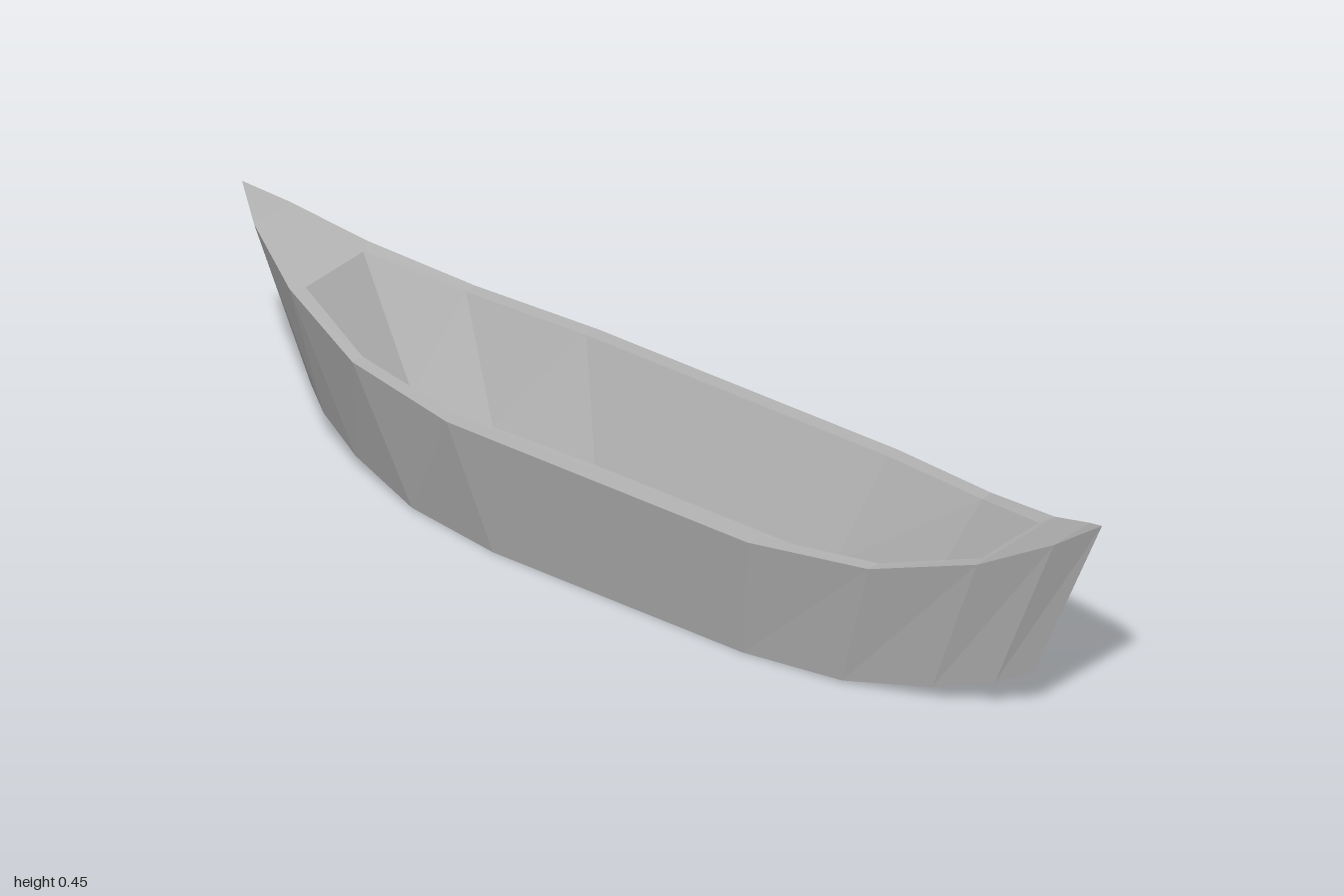
import * as THREE from 'three';

// Half outlines from midships towards the tip: [x, y, half width]
const RIM = [[0.35, 0.278, 0.217], [0.6, 0.295, 0.178], [0.8, 0.347, 0.112], [0.93, 0.408, 0.052], [1, 0.45, 0]];
const KEEL = [[0.29, 0, 0.157], [0.5, 0.005, 0.13], [0.67, 0.03, 0.081], [0.78, 0.06, 0.037], [0.84, 0.084, 0]];
const INNER_RIM = [[0.35, 0.278, 0.187], [0.6, 0.295, 0.15], [0.785, 0.342, 0.083]];
const FLOOR = [[0.28, 0.06, 0.125], [0.5, 0.07, 0.103], [0.655, 0.1, 0.064]];

// Full line from the -x end to the +x end, on the front (side 1) or back (side -1)
function line(half, side) {
  const right = half.map(([x, y, z]) => new THREE.Vector3(x, y, z * side));
  const left = half.map(([x, y, z]) => new THREE.Vector3(-x, y, z * side)).reverse();
  return [...left, ...right];
}

// Flat-faced skin made of strips, each stretched between two lines
function skin(name, strips, material) {
  const points = [];
  const addTriangle = (a, b, c) => {
    if (new THREE.Triangle(a, b, c).getArea() > 1e-7) points.push(a, b, c);
  };
  for (const [a, b] of strips) {
    for (let i = 0; i < a.length - 1; i++) {
      addTriangle(a[i], a[i + 1], b[i + 1]);
      addTriangle(a[i], b[i + 1], b[i]);
    }
  }
  const geometry = new THREE.BufferGeometry().setFromPoints(points);
  geometry.computeVertexNormals();
  const mesh = new THREE.Mesh(geometry, material);
  mesh.name = name;
  return mesh;
}

export function createModel() {
  const boat = new THREE.Group();
  boat.name = 'rowingBoat';
  const grey = new THREE.MeshStandardMaterial({ color: 0xb4b4b4 });
  grey.name = 'hullGrey';
  grey.flatShading = true;

  const [rimF, rimB] = [line(RIM, 1), line(RIM, -1)];
  const [keelF, keelB] = [line(KEEL, 1), line(KEEL, -1)];
  const [innerF, innerB] = [line(INNER_RIM, 1), line(INNER_RIM, -1)];
  const [floorF, floorB] = [line(FLOOR, 1), line(FLOOR, -1)];

  // Outer planking and flat bottom
  boat.add(skin('hullSides', [[keelF, rimF], [rimB, keelB]], grey));
  boat.add(skin('hullBottom', [[keelB, keelF]], grey));

  // Narrow side decks and the pointed end decks
  boat.add(skin('sideDecks', [[rimF.slice(2, 8), innerF], [innerB, rimB.slice(2, 8)]], grey));
  boat.add(skin('endDecks', [
    [[innerF[5], ...rimF.slice(7)], [innerB[5], ...rimB.slice(7)]],
    [[...rimF.slice(0, 3), innerF[0]], [...rimB.slice(0, 3), innerB[0]]],
  ], grey));

  // Cockpit
  boat.add(skin('innerWalls', [
    [innerF, floorF],
    [floorB, innerB],
    [[innerF[5], innerB[5]], [floorF[5], floorB[5]]],
    [[innerB[0], innerF[0]], [floorB[0], floorF[0]]],
  ], grey));
  boat.add(skin('floor', [[floorF, floorB]], grey));

  return boat;
}
